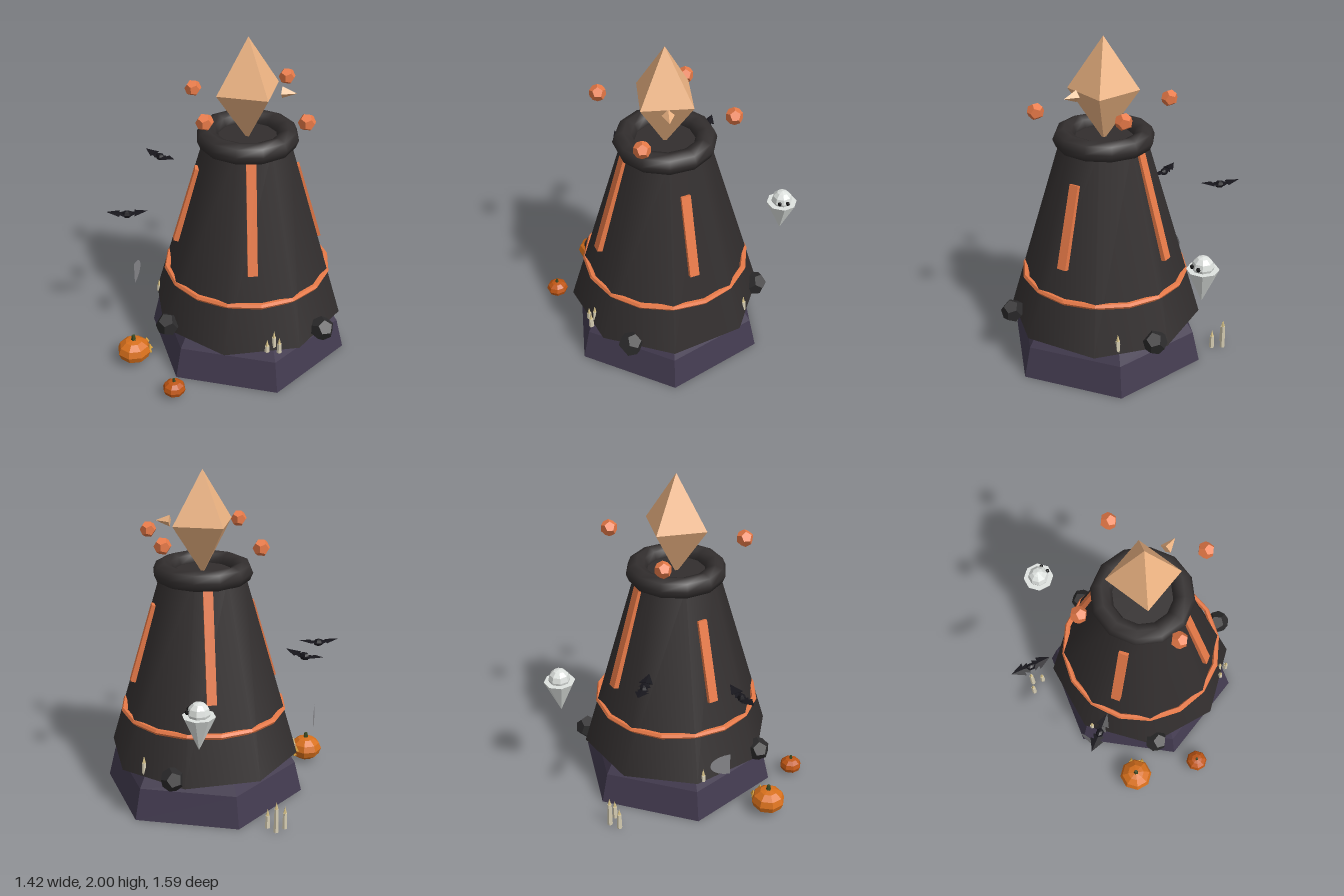
import * as THREE from 'three';

const mat = (color, flatShading = true, side = THREE.FrontSide) =>
  new THREE.MeshStandardMaterial({ color, flatShading, side });

const M = {
  stone: mat(0x433b50), tower: mat(0x322e2e, false), rock: mat(0x2c2b2c),
  glow: mat(0xe87a48), crystal: mat(0xecb382), pumpkin: mat(0xd8701c), pumpkinSmall: mat(0xbf5614),
  stem: mat(0x3d4a22), face: mat(0xd9a441), wax: mat(0xd8cfb4), flame: mat(0xd9c48a),
  bat: mat(0x17161c), ghost: mat(0xdfe3e0), eye: mat(0x111111),
  grey: mat(0x88888c, true, THREE.DoubleSide),
};

function add(parent, name, geometry, material, x = 0, y = 0, z = 0) {
  const mesh = new THREE.Mesh(geometry, material);
  mesh.name = name;
  mesh.position.set(x, y, z);
  parent.add(mesh);
  return mesh;
}

function group(parent, name, x = 0, y = 0, z = 0) {
  const g = new THREE.Group();
  g.name = name;
  g.position.set(x, y, z);
  parent.add(g);
  return g;
}

function pumpkin(parent, name, x, z, r, material) {
  const g = group(parent, name, x, r * 0.8, z);
  add(g, 'pumpkinBody', new THREE.SphereGeometry(r, 8, 6), material).scale.y = 0.75;
  add(g, 'stem', new THREE.CylinderGeometry(r * 0.1, r * 0.16, r * 0.35, 5), M.stem, 0, r * 0.85, 0);
  return g;
}

function candle(parent, x, y, z, h) {
  const g = group(parent, 'candle', x, y, z);
  add(g, 'wax', new THREE.CylinderGeometry(0.013, 0.016, h, 6), M.wax, 0, h / 2, 0);
  add(g, 'flame', new THREE.ConeGeometry(0.011, 0.045, 5), M.flame, 0, h + 0.022, 0);
}

function bat(parent, x, y, z, turn) {
  const g = group(parent, 'bat', x, y, z);
  g.rotation.y = turn;
  add(g, 'batBody', new THREE.SphereGeometry(0.03, 6, 4), M.bat).scale.set(1.1, 0.8, 0.8);
  for (const s of [-1, 1]) {
    const wing = group(g, 'batWing', s * 0.015, 0, 0);
    wing.rotation.z = s * 0.18;
    // two flattened barbs give the notched wing outline
    for (const [start, length, r] of [[0, 0.065, 0.034], [0.03, 0.08, 0.04]]) {
      const geo = new THREE.ConeGeometry(r, length, 4).rotateZ(-s * Math.PI / 2);
      add(wing, 'wingBarb', geo, M.bat, s * (start + length / 2), 0, 0).scale.y = 0.15;
    }
  }
}

export function createModel() {
  const model = new THREE.Group();
  model.name = 'hauntedTower';
  const tower = group(model, 'tower', 0.09, 0, 0.03);

  // six-sided plinth in two tiers
  const hex = (top, bottom, h) => new THREE.CylinderGeometry(top, bottom, h, 6).rotateY(Math.PI / 6);
  add(tower, 'plinth', hex(0.575, 0.62, 0.19), M.stone, 0, 0.095, 0);
  add(tower, 'plinthBevel', hex(0.53, 0.575, 0.07), M.stone, 0, 0.225, 0);

  // tapered body, rim and glowing band
  add(tower, 'body', new THREE.CylinderGeometry(0.25, 0.585, 1.14, 8), M.tower, 0, 0.83, 0);
  add(tower, 'rim', new THREE.TorusGeometry(0.237, 0.063, 8, 12).rotateX(Math.PI / 2), M.tower, 0, 1.4, 0);
  add(tower, 'glowBand', new THREE.TorusGeometry(0.49, 0.018, 6, 16).rotateX(Math.PI / 2), M.glow, 0, 0.547, 0);

  // glowing strips lying on the slope, alternately long and short
  for (let i = 0; i < 4; i++) {
    const h = i % 2 ? 0.48 : 0.64;
    const pivot = group(tower, 'stripPivot');
    pivot.rotation.y = 0.3 + i * Math.PI / 2;
    const strip = add(pivot, 'glowStrip', new THREE.BoxGeometry(0.057, h / 0.96, 0.04), M.glow,
      0, 0.72 + h / 2, 0.428 - 0.147 * h);
    strip.rotation.x = -0.285;
  }

  // crystal with a small pointer on its side
  const crystal = add(tower, 'crystal', new THREE.OctahedronGeometry(0.208).rotateY(Math.PI / 4), M.crystal, 0, 1.69, 0);
  crystal.scale.y = 1.49;
  add(tower, 'crystalPointer', new THREE.ConeGeometry(0.035, 0.085, 4).rotateZ(-Math.PI / 2), M.crystal, 0.238, 1.69, 0);

  // floating embers
  for (const [x, y, z] of [[0.245, 1.635, -0.335], [-0.275, 1.595, -0.125], [-0.065, 1.635, 0.395], [0.455, 1.595, 0.185]])
    add(model, 'ember', new THREE.DodecahedronGeometry(0.05), M.glow, x, y, z);

  // rocks round the foot
  [[-0.295, 0.46], [0.61, 0.285], [0.165, -0.53]].forEach(([x, z], i) => {
    add(model, 'rock', new THREE.DodecahedronGeometry(0.073), M.rock, x, 0.305, z).rotation.set(i * 0.5, i, 0);
  });

  // pumpkins; the large one has a carved face
  const big = pumpkin(model, 'largePumpkin', -0.515, 0.47, 0.103, M.pumpkin);
  pumpkin(model, 'smallPumpkin', -0.185, 0.725, 0.068, M.pumpkinSmall);
  const face = group(big, 'pumpkinFace');
  face.rotation.y = Math.PI / 2 + 0.615;
  for (const s of [-1, 1])
    add(face, 'pumpkinEye', new THREE.ConeGeometry(0.02, 0.035, 3), M.face, s * 0.035, 0.025, 0.09);
  add(face, 'pumpkinMouth', new THREE.BoxGeometry(0.06, 0.014, 0.02), M.face, 0, -0.025, 0.092);

  // candles on the ledge and on the ground behind
  for (const [x, y, z, h] of [
    [0.325, 0.26, 0.52, 0.04], [0.358, 0.26, 0.485, 0.08], [0.395, 0.26, 0.51, 0.06],
    [-0.47, 0.26, 0.07, 0.04], [0.36, 0.26, -0.425, 0.08],
    [-0.48, 0, -0.445, 0.1], [-0.435, 0, -0.495, 0.15], [-0.38, 0, -0.455, 0.08],
  ]) candle(model, x, y, z, h);

  bat(model, -0.55, 1.025, -0.295, -0.45);
  bat(model, -0.59, 0.91, 0.252, 0.3);

  // ghost looking towards +x
  const ghost = group(model, 'ghost', -0.025, 0.8, -0.705);
  add(ghost, 'ghostHead', new THREE.SphereGeometry(0.065, 8, 6), M.ghost, 0, 0.015, 0);
  add(ghost, 'ghostTail', new THREE.ConeGeometry(0.094, 0.205, 8).rotateX(Math.PI), M.ghost, 0, -0.1025, 0);
  for (const s of [-1, 1])
    add(ghost, 'ghostEye', new THREE.SphereGeometry(0.013, 6, 4), M.eye, 0.06, 0.025, s * 0.025);

  // thin upright half disc
  const disc = add(model, 'halfDisc', new THREE.CircleGeometry(0.07, 10, -Math.PI / 2, Math.PI).rotateY(Math.PI / 2),
    M.grey, -0.585, 0.45, 0.2);
  disc.scale.z = 1.7;

  return model;
}
